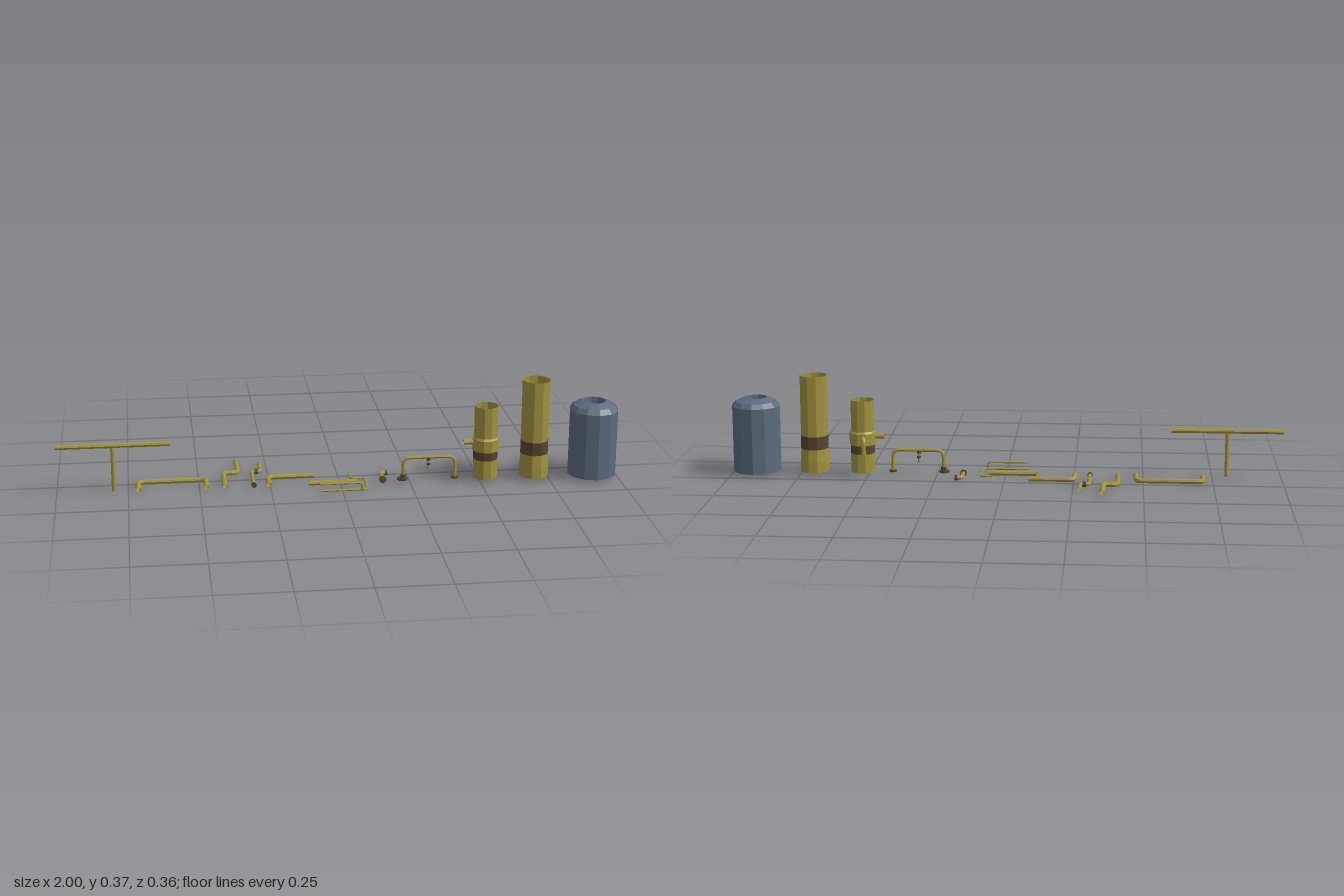
import * as THREE from 'three';

const mat = (name, color) => {
  const m = new THREE.MeshStandardMaterial({ color, flatShading: true, side: THREE.DoubleSide });
  m.name = name;
  return m;
};
const V = (p) => new THREE.Vector3(...p);

// Curve that passes exactly through a list of points, one per tube segment
class PolyCurve extends THREE.Curve {
  constructor(pts) { super(); this.pts = pts; }
  index(u) { return Math.round(u * (this.pts.length - 1)); }
  getPointAt(u, t = new THREE.Vector3()) { return t.copy(this.pts[this.index(u)]); }
  getPoint(u, t) { return this.getPointAt(u, t); }
  getTangentAt(u, t = new THREE.Vector3()) {
    const i = this.index(u), p = this.pts, n = p.length - 1;
    t.set(0, 0, 0);
    if (i > 0) t.add(p[i].clone().sub(p[i - 1]).normalize());
    if (i < n) t.add(p[i + 1].clone().sub(p[i]).normalize());
    return t.normalize();
  }
}

export function createModel() {
  const root = new THREE.Group();
  root.name = 'pipeKit';
  const brass = mat('brass', 0xa0923e);
  const brown = mat('darkBrown', 0x54452f);
  const slate = mat('slate', 0x5c6c7c);
  const Z = 0.09, Y = 0.0145;

  const add = (name, geo, m, pos = [0, 0, 0]) => {
    const mesh = new THREE.Mesh(geo, m);
    mesh.name = name;
    mesh.position.set(...pos);
    root.add(mesh);
    return mesh;
  };

  // Pipe along corner points, each corner rounded with radius bend
  const pipe = (name, corners, r, bend = 0.02, m = brass) => {
    const c = corners.map(V), pts = [c[0]];
    for (let i = 1; i < c.length - 1; i++) {
      const toA = c[i - 1].clone().sub(c[i]), toB = c[i + 1].clone().sub(c[i]);
      const d = Math.min(bend, toA.length() * 0.45, toB.length() * 0.45);
      const arc = new THREE.QuadraticBezierCurve3(
        c[i].clone().addScaledVector(toA.normalize(), d), c[i],
        c[i].clone().addScaledVector(toB.normalize(), d));
      pts.push(...arc.getPoints(3));
    }
    pts.push(c[c.length - 1]);
    return add(name, new THREE.TubeGeometry(new PolyCurve(pts), pts.length - 1, r, 8), m);
  };

  // Short closed ring along an axis
  const collar = (name, pos, r, len, axis, m = brown) => {
    const g = new THREE.CylinderGeometry(r, r, len, 8);
    if (axis === 'x') g.rotateZ(Math.PI / 2);
    if (axis === 'z') g.rotateX(Math.PI / 2);
    return add(name, g, m, pos);
  };

  // Turned shell from [radius, y] pairs
  const turned = (name, profile, sides, m, x) => {
    const g = new THREE.LatheGeometry(profile.map(([r, y]) => new THREE.Vector2(r, y)), sides);
    g.rotateY(Math.PI / 2);
    return add(name, g, m, [x, 0, Z]);
  };

  // Tee pipe
  pipe('teeCrossPipe', [[-1, 0.183, Z], [-0.6, 0.183, Z]], 0.009);
  pipe('teeStem', [[-0.8, 0.015, Z], [-0.8, 0.183, Z]], 0.007);
  collar('teeJoint', [-0.8, 0.183, Z], 0.0098, 0.024, 'x', brass);

  // Bent floor pipes
  pipe('uPipe', [[-0.715, Y, Z], [-0.715, Y, 0.01], [-0.475, Y, 0.01], [-0.475, Y, Z]], 0.009);
  pipe('largeOffsetPipe', [[-0.41, Y, Z], [-0.41, Y, -0.05], [-0.357, Y, -0.05], [-0.357, Y, -0.177]], 0.009);
  pipe('smallOffsetPipe', [[-0.308, Y, Z], [-0.308, Y, -0.053], [-0.275, Y, -0.053], [-0.275, Y, -0.135]], 0.007, 0.012);
  collar('offsetCollar', [-0.291, Y, -0.053], 0.0105, 0.012, 'x');
  collar('offsetEndCollar', [-0.308, Y, Z - 0.005], 0.0095, 0.012, 'z');
  pipe('elbowPipe', [[-0.254, Y, Z], [-0.254, Y, 0.01], [-0.09, Y, 0.01]], 0.009);
  pipe('straightPipe', [[-0.115, Y, Z], [0.06, Y, Z]], 0.009);

  // Thin pipe pair
  pipe('thinLowerPipe', [[-0.08, 0.012, 0.166], [0.088, 0.012, 0.166], [0.088, 0.012, 0.053],
    [0.04, 0.012, 0.053], [0.04, 0.012, 0]], 0.004, 0.012);
  pipe('thinUpperPipe', [[-0.08, 0.037, 0.166], [0.068, 0.037, 0.166], [0.068, 0.014, 0.166]], 0.004, 0.012);

  // Short elbow with collars
  pipe('shortElbow', [[0.152, Y, Z], [0.152, Y, 0.012], [0.178, Y, 0.012]], 0.008, 0.014);
  collar('shortElbowFrontCollar', [0.152, Y, Z - 0.008], 0.0125, 0.012, 'z');
  collar('shortElbowEndCollar', [0.173, Y, 0.012], 0.0105, 0.008, 'x');

  // Arched pipe with floor flanges and hanging tap
  pipe('archPipe', [[0.225, 0.01, Z], [0.225, 0.096, Z], [0.41, 0.096, Z], [0.41, 0.01, Z]], 0.0065, 0.025);
  collar('archLeftFlange', [0.222, 0.018, Z], 0.019, 0.007, 'y');
  collar('archLeftNut', [0.225, 0.028, Z], 0.01, 0.014, 'y');
  collar('archRightFlange', [0.41, 0.018, Z], 0.014, 0.006, 'y');
  pipe('tapStem', [[0.315, 0.096, Z], [0.315, 0.05, Z]], 0.0035);
  collar('tapKnob', [0.315, 0.07, Z], 0.007, 0.007, 'y');
  collar('tapTop', [0.315, 0.089, Z], 0.0075, 0.01, 'y');

  // Short open tower with side outlets
  const tx = 0.52;
  turned('shortTowerBase', [[0.044, 0.015], [0.044, 0.085]], 10, brass, tx);
  turned('shortTowerBand', [[0.0445, 0.085], [0.0445, 0.115]], 10, brown, tx);
  turned('shortTowerCollar', [[0.0445, 0.115], [0.048, 0.117], [0.048, 0.16], [0.0425, 0.167]], 10, brass, tx);
  turned('shortTowerTop', [[0.0425, 0.165], [0.0425, 0.281]], 10, brass, tx);
  pipe('sideOutlet', [[0.44, 0.147, Z], [0.478, 0.147, Z]], 0.01);
  pipe('rearOutlet', [[0.514, 0.147, 0.05], [0.507, 0.147, 0.014], [0.507, 0.09, 0.014]], 0.008, 0.014);

  // Tall open tower with flared foot
  const bx = 0.697;
  turned('tallTowerFoot', [[0.053, 0.015], [0.053, 0.055], [0.0495, 0.1]], 10, brass, bx);
  turned('tallTowerBand', [[0.0505, 0.1], [0.0505, 0.148]], 10, brown, bx);
  turned('tallTowerTop', [[0.05, 0.148], [0.05, 0.37]], 10, brass, bx);

  // Tank with chamfered shoulder and recessed top
  turned('tank', [[0, 0.014], [0.088, 0.014], [0.088, 0.255], [0.075, 0.272], [0.046, 0.285],
    [0.04, 0.286], [0.038, 0.262], [0, 0.262]], 12, slate, 0.91);

  return root;
}
